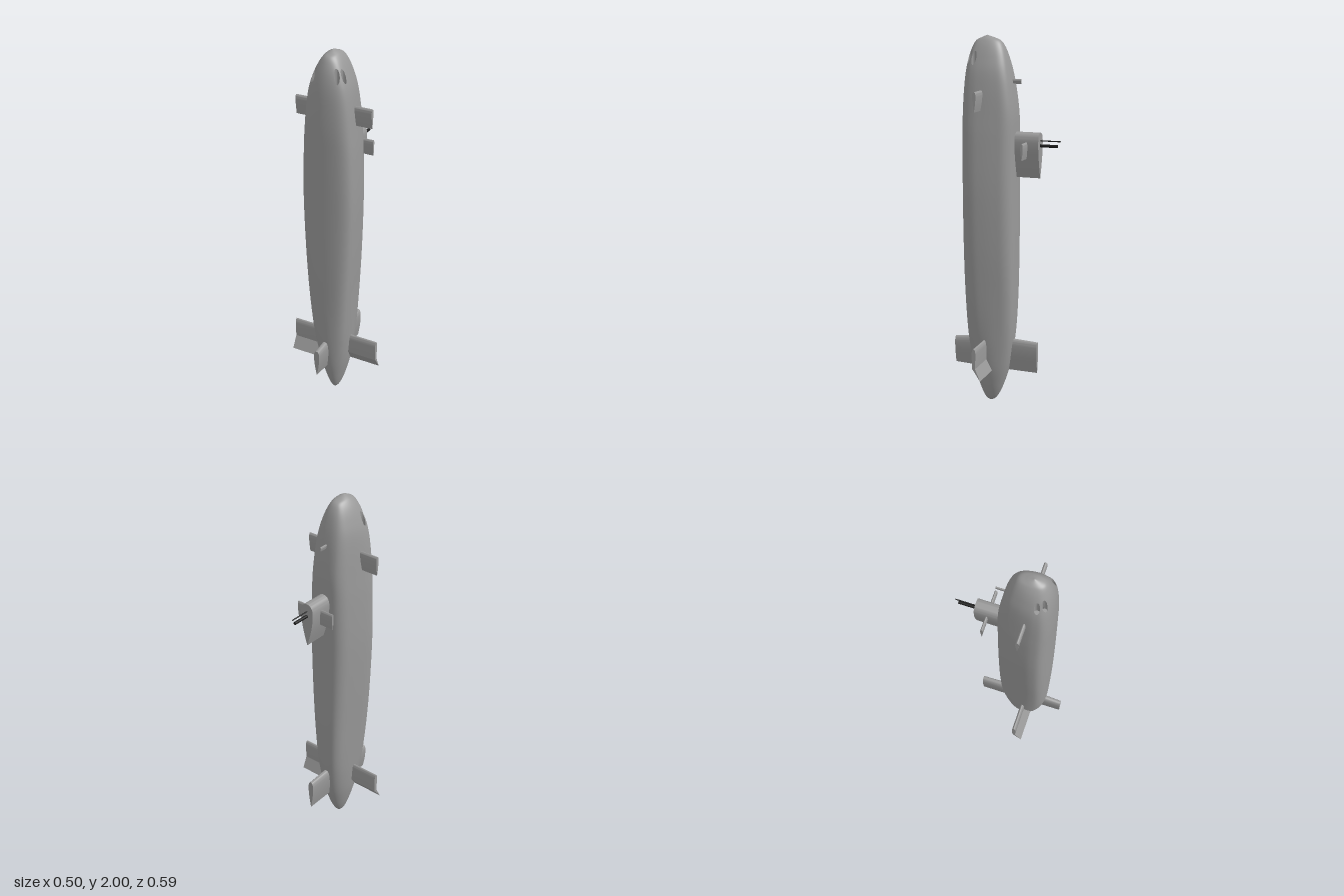
import * as THREE from 'three';
import { mergeVertices, toCreasedNormals } from 'three/addons/utils/BufferGeometryUtils.js';

const paint = new THREE.MeshStandardMaterial({ color: 0x999999 });
const paintThin = new THREE.MeshStandardMaterial({ color: 0x999999, side: THREE.DoubleSide });
const black = new THREE.MeshStandardMaterial({ color: 0x1a1a1a });

// Hull stations: height, half width, deck z, keel z, roundness of the section
const STATIONS = [
  [0, 0, 0.09, 0.09, 1], [0.012, 0.014, 0.066, 0.112, 1], [0.04, 0.029, 0.044, 0.13, 1],
  [0.1, 0.05, 0.016, 0.154, 1], [0.2, 0.075, -0.016, 0.183, 0.9], [0.32, 0.092, -0.038, 0.204, 0.6],
  [0.45, 0.104, -0.05, 0.214, 0.25], [0.65, 0.118, -0.056, 0.219, 0], [0.9, 0.134, -0.058, 0.222, 0],
  [1.2, 0.144, -0.058, 0.222, 0], [1.45, 0.139, -0.058, 0.222, 0], [1.6, 0.13, -0.056, 0.222, 0],
  [1.73, 0.12, -0.042, 0.217, 0.1], [1.82, 0.107, -0.027, 0.21, 0.25], [1.89, 0.085, -0.01, 0.198, 0.4],
  [1.94, 0.063, 0.008, 0.182, 0.6], [1.972, 0.042, 0.03, 0.163, 0.8], [1.988, 0.024, 0.066, 0.134, 1],
  [2, 0, 0.105, 0.105, 1],
];
const HALF = [[0, -1], [0.36, -0.99], [0.6, -0.91], [0.77, -0.71], [0.87, -0.38], [0.96, 0.05], [1, 0.42], [0.92, 0.74], [0.6, 0.93], [0, 1]];
const TUBES = [[0.08, 0.147], [0.06, 0.177], [-0.086, 0.147], [-0.066, 0.177]];
const TUBE_R = 0.014, TUBE_FLOOR = 1.825;

// Signed distance to the nearest torpedo tube, seen along the hull
function tubeDistance(p) {
  if (p.y < 1.7) return 1;
  return Math.min(...TUBES.map(([x, z]) => Math.hypot(p.x - x, p.z - z))) - TUBE_R;
}

function hullGrid(rows, cols) {
  const a = new THREE.CatmullRomCurve3(STATIONS.map(s => new THREE.Vector3(s[1], s[0], s[2])), false, 'catmullrom');
  const b = new THREE.CatmullRomCurve3(STATIONS.map(s => new THREE.Vector3(s[3], s[4], 0)), false, 'catmullrom');
  const ring = [...HALF, ...HALF.slice(1, -1).reverse().map(([x, z]) => [-x, z])];
  const section = new THREE.CatmullRomCurve3(ring.map(([x, z]) => new THREE.Vector3(x, 0, z)), true, 'catmullrom');
  const unit = Array.from({ length: cols }, (_, j) => section.getPoint(j / cols));
  const grid = [];
  for (let i = 0; i <= rows; i++) {
    const p = a.getPoint(i / rows), q = b.getPoint(i / rows);
    const mid = (p.z + q.x) / 2, half = (q.x - p.z) / 2;
    grid.push(unit.map(u => {
      const k = THREE.MathUtils.lerp(1, 1 / Math.hypot(u.x, u.z), q.y);
      return new THREE.Vector3(p.x * u.x * k - 0.001, p.y, mid + half * u.z * k);
    }));
  }
  return grid;
}

// Hull skin with the tube mouths trimmed out, plus the walls of the tubes
function buildHull() {
  const rows = 144, cols = 108, grid = hullGrid(rows, cols), skin = [], walls = [];
  const put = (list, ...pts) => pts.forEach(p => list.push(p.x, p.y, p.z));
  const floor = p => new THREE.Vector3(p.x, TUBE_FLOOR, p.z);
  const trim = tri => {
    const d = tri.map(tubeDistance), poly = [], cuts = [];
    for (let k = 0; k < 3; k++) {
      const n = (k + 1) % 3;
      if (d[k] >= 0) poly.push(tri[k]);
      if ((d[k] >= 0) !== (d[n] >= 0)) {
        const c = tri[k].clone().lerp(tri[n], d[k] / (d[k] - d[n]));
        poly.push(c);
        cuts.push(c);
      }
    }
    for (let k = 2; k < poly.length; k++) put(skin, poly[0], poly[k - 1], poly[k]);
    if (cuts.length === 2) {
      const [p, q] = cuts;
      put(walls, p, q, floor(q), p, floor(q), floor(p));
    }
  };
  for (let i = 0; i < rows; i++) {
    for (let j = 0; j < cols; j++) {
      const n = (j + 1) % cols;
      const a = grid[i][j], b = grid[i][n], c = grid[i + 1][n], d = grid[i + 1][j];
      if (i < rows - 1) trim([a, d, c]);
      if (i > 0) trim([a, c, b]);
    }
  }
  const [hull, tubeWalls] = [skin, walls].map(list => {
    const g = new THREE.BufferGeometry();
    g.setAttribute('position', new THREE.Float32BufferAttribute(list, 3));
    const merged = mergeVertices(g, 1e-5);
    merged.computeVertexNormals();
    return merged;
  });
  return { hull, tubeWalls };
}

// Teardrop prism: nose at y = 0, tail at y = -chord, span along +z
function foil(chord, thick, span) {
  const t = thick / 2, s = new THREE.Shape();
  s.moveTo(0, -chord);
  s.bezierCurveTo(t * 0.5, -chord * 0.75, t, -chord * 0.5, t, -chord * 0.22);
  s.bezierCurveTo(t, -chord * 0.07, t * 0.6, 0, 0, 0);
  s.bezierCurveTo(-t * 0.6, 0, -t, -chord * 0.07, -t, -chord * 0.22);
  s.bezierCurveTo(-t, -chord * 0.5, -t * 0.5, -chord * 0.75, 0, -chord);
  const g = new THREE.ExtrudeGeometry(s, { depth: span, bevelEnabled: false, curveSegments: 12 });
  return toCreasedNormals(g, 0.7);
}

export function createModel() {
  const model = new THREE.Group();
  const add = (name, geometry, material = paint, x = 0, y = 0, z = 0) => {
    const mesh = new THREE.Mesh(geometry, material);
    mesh.name = name;
    mesh.position.set(x, y, z);
    model.add(mesh);
  };

  // Hull and torpedo tubes
  const { hull, tubeWalls } = buildHull();
  add('hull', hull);
  add('torpedoTubeWalls', tubeWalls, paintThin);
  for (const [x, z] of TUBES) {
    add('torpedoTubeFloor', new THREE.CircleGeometry(TUBE_R, 32).rotateX(-Math.PI / 2), paint, x, TUBE_FLOOR, z);
  }

  // Sail, its planes and masts
  add('sail', foil(0.24, 0.076, 0.2), paint, -0.002, 1.505, -0.188);
  const crossPlane = (name, chord, thick, half, y, z) =>
    add(name, foil(chord, thick, 2 * half).rotateY(Math.PI / 2), paint, -half - 0.003, y, z);
  crossPlane('sailPlanes', 0.088, 0.014, 0.112, 1.457, -0.122);
  crossPlane('bowPlanes', 0.104, 0.018, 0.217, 1.725, 0.097);
  for (const [name, r, y, tip] of [['periscope', 0.003, 1.463, 0.297], ['mast', 0.008, 1.437, 0.281]]) {
    const length = tip - 0.15;
    add(name, new THREE.CylinderGeometry(r, r, length, 16).rotateX(Math.PI / 2), black, -0.002, y, -tip + length / 2);
  }

  // Small fin on the foredeck
  add('foredeckFin', foil(0.024, 0.008, 0.06), paint, -0.002, 1.777, -0.082);

  // Stern planes, each with a flap turned the opposite way
  for (const [side, flapZ] of [[1, -0.036], [-1, 0.044]]) {
    const span = 0.252;
    const fixed = new THREE.Shape();
    fixed.moveTo(-0.008, 0.262);
    fixed.lineTo(0.008, 0.262);
    fixed.lineTo(0.011, 0.34);
    fixed.bezierCurveTo(0.011, 0.362, 0.006, 0.376, 0, 0.376);
    fixed.bezierCurveTo(-0.006, 0.376, -0.011, 0.362, -0.011, 0.34);
    fixed.lineTo(-0.008, 0.262);
    const flap = new THREE.Shape([[-0.008, 0.265], [-flapZ, 0.199], [0.008, 0.265]].map(p => new THREE.Vector2(...p)));
    for (const [name, shape] of [['sternPlane', fixed], ['sternFlap', flap]]) {
      const g = new THREE.ExtrudeGeometry(shape, { depth: span, bevelEnabled: false, curveSegments: 10 });
      g.translate(0, 0, -span / 2).rotateY(Math.PI / 2);
      add(name, toCreasedNormals(g, 0.6), paintThin, side * span / 2, 0, 0.093);
    }
  }

  // Rudders, tapering from the hull to the tip
  const rudder = (name, span, tipTop, tipBottom, dir) => {
    const g = foil(0.183, 0.042, span), p = g.attributes.position;
    for (let i = 0; i < p.count; i++) {
      const k = p.getZ(i) / span, f = -p.getY(i) / 0.183;
      const top = THREE.MathUtils.lerp(0.375, tipTop, k), bottom = THREE.MathUtils.lerp(0.19, tipBottom, k);
      p.setXY(i, p.getX(i) * (1 - 0.22 * k), THREE.MathUtils.lerp(top, bottom, f));
    }
    if (dir < 0) g.rotateY(Math.PI);
    add(name, toCreasedNormals(g, 0.7), paint, -0.004, 0, 0.09);
  };
  rudder('lowerRudder', 0.207, 0.35, 0.198, 1);
  rudder('upperRudder', 0.267, 0.362, 0.188, -1);

  return model;
}
